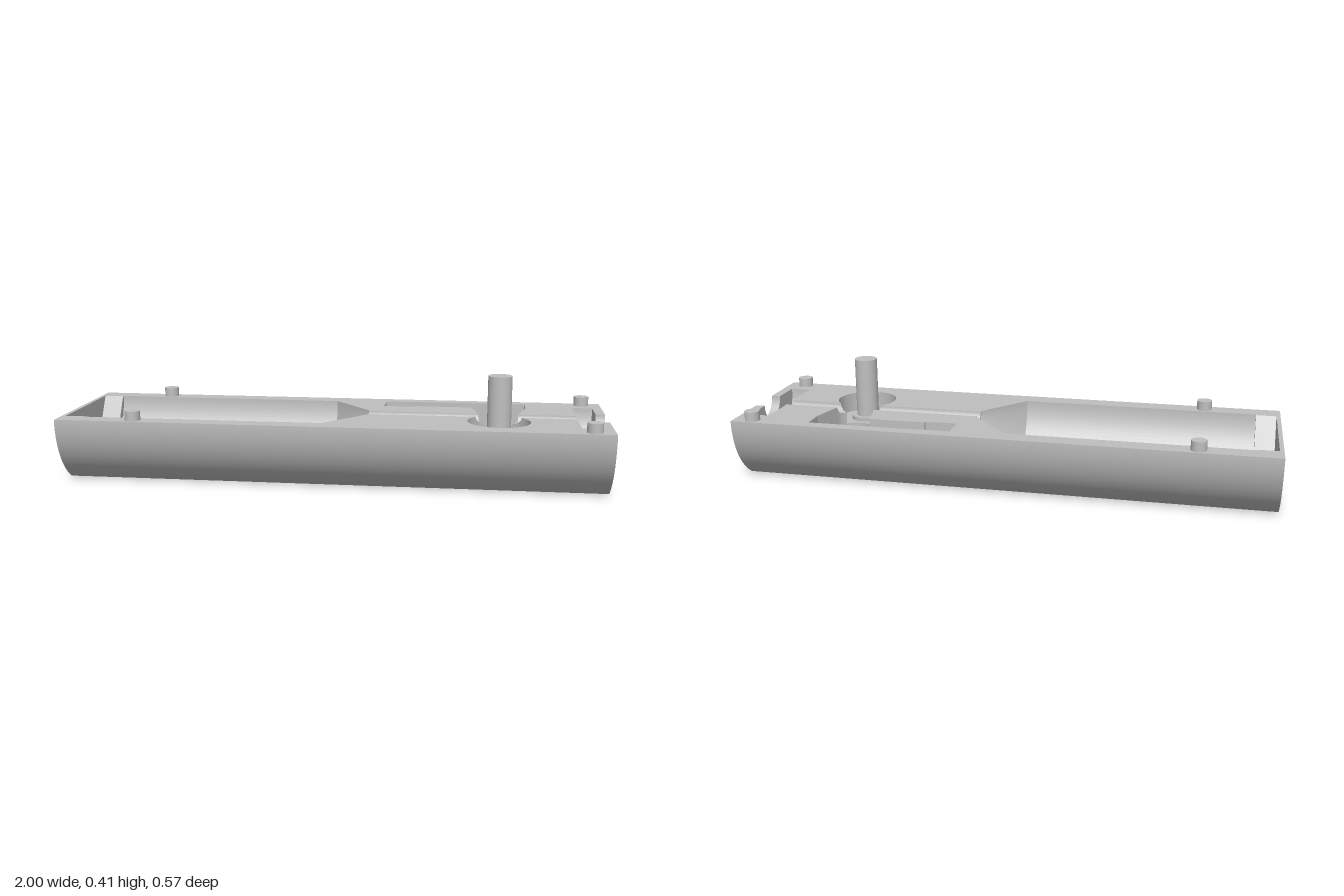
import * as THREE from 'three';

const TOP = 0.245, R = 0.287, CH = 0.03;            // split plane, shell radius, channel radius
const ARM_Y = 0.145, CATCH_Y = 0.16, ROUND_Y = 0.17; // pocket floors

const material = new THREE.MeshStandardMaterial({ color: 0xbfbfbf, side: THREE.DoubleSide });
material.name = 'plain grey';

// Surface from a rule f(u, v) -> [x, y, z]
function grid(nu, nv, f) {
  const pos = [], idx = [];
  for (let i = 0; i <= nu; i++) for (let j = 0; j <= nv; j++) pos.push(...f(i / nu, j / nv));
  for (let i = 0; i < nu; i++) for (let j = 0; j < nv; j++) {
    const a = i * (nv + 1) + j, b = a + nv + 1;
    idx.push(a, a + 1, b, b, a + 1, b + 1);
  }
  const g = new THREE.BufferGeometry();
  g.setAttribute('position', new THREE.Float32BufferAttribute(pos, 3));
  g.setIndex(idx);
  g.computeVertexNormals();
  return g;
}

// Horizontal face from [x, z] points
function flat(points, y) {
  const g = new THREE.ShapeGeometry(new THREE.Shape(points.map(([x, z]) => new THREE.Vector2(x, -z))));
  return g.rotateX(-Math.PI / 2).translate(0, y, 0);
}

// Lower half of a revolved band about the x axis, between two [x, r] points
function halfTurn(a, b, sides = 48) {
  const g = new THREE.LatheGeometry([a, b].map(([x, r]) => new THREE.Vector2(r, x)), sides, 0, Math.PI);
  g.rotateZ(-Math.PI / 2).translate(0, TOP, 0);
  if (sides > 6) return g;
  const f = g.toNonIndexed();
  f.computeVertexNormals();
  return f;
}

function inside([x, z], poly) {
  let hit = false;
  poly.forEach(([x1, z1], i) => {
    const [x2, z2] = poly[(i + 1) % poly.length];
    if ((z1 > z) !== (z2 > z) && x < x1 + (x2 - x1) * (z - z1) / (z2 - z1)) hit = !hit;
  });
  return hit;
}

function arc(cx, cz, r, from, to, n) {
  return Array.from({ length: n + 1 }, (_, i) => {
    const t = THREE.MathUtils.degToRad(from + (to - from) * i / n);
    return [cx + r * Math.cos(t), cz + r * Math.sin(t)];
  });
}

// Pocket outlines in [x, z]
const PX = 0.605, TIP_Z = -0.05, TIP_R = 0.077, POST_Z = 0.107, ROUND_R = 0.113;
const arm = [[0.71, -0.155], [0.71, -0.24], [0.29, -0.24], [0.29, -0.235], [0.29, -0.15], [0.505, -0.15],
  ...arc(PX, TIP_Z, TIP_R, 166.5, 13.5, 60)];
const catchBox = [[0.29, -0.235], [0.17, -0.235], [0.17, -0.139], [0.29, -0.139], [0.29, -0.15]];
const round = arc(PX, POST_Z, ROUND_R, -90, 270, 120).slice(0, -1);

// Height of the surroundings at a point
function ground([x, z]) {
  let y = TOP;
  if (Math.abs(z) < CH) y = TOP - Math.sqrt(CH * CH - z * z);
  if (inside([x, z], round)) y = Math.min(y, ROUND_Y);
  if (inside([x, z], catchBox)) y = Math.min(y, CATCH_Y);
  if (inside([x, z], arm)) y = Math.min(y, ARM_Y);
  return y;
}

// Upright wall round a pocket, reaching up to whatever lies outside it
function wall(loop, floor) {
  const pos = [];
  loop.forEach((a, i) => {
    const b = loop[(i + 1) % loop.length];
    const dx = b[0] - a[0], dz = b[1] - a[1], l = Math.hypot(dx, dz);
    const mid = s => [(a[0] + b[0]) / 2 - s * 0.001 * dz / l, (a[1] + b[1]) / 2 + s * 0.001 * dx / l];
    const y = ground(inside(mid(1), loop) ? mid(-1) : mid(1));
    if (y <= floor) return;
    const A = [a[0], floor, a[1]], B = [b[0], floor, b[1]], C = [b[0], y, b[1]], D = [a[0], y, a[1]];
    pos.push(...A, ...B, ...C, ...A, ...C, ...D);
  });
  const g = new THREE.BufferGeometry();
  g.setAttribute('position', new THREE.Float32BufferAttribute(pos, 3));
  g.computeVertexNormals();
  return g;
}

export function createModel() {
  const model = new THREE.Group();
  model.name = 'halfHousing';
  const add = (name, geometry, x = 0, y = 0, z = 0) => {
    const m = new THREE.Mesh(geometry, material);
    m.name = name;
    m.position.set(x, y, z);
    model.add(m);
  };

  // Outer shell: two curved sides and a flat base
  const cut = Math.asin(TOP / R), base = R * Math.cos(cut);
  for (const s of [1, -1]) {
    add('shellSide', grid(1, 32, (u, v) => [s * (2 * u - 1), TOP - R * Math.sin(v * cut), s * R * Math.cos(v * cut)]));
  }
  add('shellBase', grid(1, 1, (u, v) => [2 * u - 1, 0, base * (1 - 2 * v)]));

  // End walls, the right one with a round notch
  for (const s of [1, -1]) {
    const end = new THREE.Shape();
    end.absarc(0, TOP, R, Math.PI, Math.PI + cut, false);
    end.absarc(0, TOP, R, 2 * Math.PI - cut, 2 * Math.PI, false);
    if (s > 0) end.absarc(0, TOP, 0.07, 2 * Math.PI, Math.PI, true);
    add('endWall', new THREE.ShapeGeometry(end, 32).rotateY(s * Math.PI / 2), s, 0, 0);
  }

  // Top rim round all the openings
  const dxArm = Math.sqrt(TIP_R ** 2 - (CH + TIP_Z) ** 2);
  const dxRound = Math.sqrt(ROUND_R ** 2 - (POST_Z - CH) ** 2);
  add('topRim', flat([
    [-1, -R], [1, -R], [1, -0.07], [0.965, -0.07], [0.965, -0.19], [0.89, -0.19], [0.89, -CH],
    [PX + dxArm, -CH], arm[arm.length - 1], ...arm.slice(0, 4), ...catchBox.slice(1), [0.505, -0.15],
    arm[6], [PX - dxArm, -CH],
    [0.12, -CH], [0.12, -0.04], [-0.025, -0.217], [-0.91, -0.217], [-0.91, -0.21], [-0.985, -0.21],
    [-0.985, 0.21], [-0.91, 0.21], [-0.91, 0.217], [-0.025, 0.217], [0.12, 0.04], [0.12, CH],
    [PX - dxRound, CH], ...round.filter(p => p[1] > CH).reverse(), [PX + dxRound, CH],
    [0.89, CH], [0.89, 0.19], [0.965, 0.19], [0.965, 0.07], [1, 0.07], [1, R], [-1, R],
  ], TOP));

  // Main bore with its cone, and the hexagonal seat at the far end
  add('mainBore', halfTurn([-0.91, 0.217], [-0.025, 0.217]));
  add('boreCone', halfTurn([-0.025, 0.217], [0.12, 0.04]));
  add('coneStep', halfTurn([0.12, 0.04], [0.12, CH]));
  add('hexSeat', halfTurn([-0.985, 0.21], [-0.91, 0.21], 3));
  add('hexSeatEnd', halfTurn([-0.985, 0], [-0.985, 0.21], 3));
  add('hexSeatStep', grid(48, 1, (u, v) => {
    const t = u * Math.PI, hex = 0.21 * Math.cos(Math.PI / 6) / Math.cos((t % (Math.PI / 3)) - Math.PI / 6);
    const r = hex + (0.217 - hex) * v;
    return [-0.91, TOP - r * Math.sin(t), r * Math.cos(t)];
  }));

  // Disc slot and outlet notch
  const slot = [[0.89, CH], [0.89, 0.19], [0.965, 0.19], [0.965, 0.07], [1, 0.07]];
  for (let i = 0; i < 4; i++) add('discSlot', halfTurn(slot[i], slot[i + 1]));

  // Narrow channel, trimmed where it meets the pockets
  const reach = z => Math.max(Math.sqrt(Math.max(0, TIP_R ** 2 - (z - TIP_Z) ** 2)),
    Math.sqrt(Math.max(0, ROUND_R ** 2 - (z - POST_Z) ** 2)));
  for (const [s, far] of [[-1, 0.12], [1, 0.89]]) {
    add('channel', grid(24, 1, (u, v) => {
      const z = CH * Math.cos(u * Math.PI);
      return [v ? far : PX + s * reach(z), TOP - CH * Math.sin(u * Math.PI), z];
    }));
  }

  // Arm, catch and round pockets
  add('armPocketFloor', flat(arm, ARM_Y));
  add('armPocketWall', wall(arm, ARM_Y));
  add('catchPocketFloor', flat(catchBox, CATCH_Y));
  add('catchPocketWall', wall(catchBox, CATCH_Y));
  add('roundPocketFloor', flat([...round.filter(p => !inside(p, arm)), ...arm.filter(p => inside(p, round))], ROUND_Y));
  add('roundPocketWall', wall(round, ROUND_Y));

  // Pivot post with collar
  add('postCollar', new THREE.CylinderGeometry(0.063, 0.063, 0.015, 48), PX, ROUND_Y + 0.0075, POST_Z);
  add('pivotPost', new THREE.CylinderGeometry(0.043, 0.043, 0.412 - ROUND_Y, 48), PX, (0.412 + ROUND_Y) / 2, POST_Z);

  // Locating pegs
  for (const x of [-0.715, 0.928]) for (const z of [-0.252, 0.252]) {
    add('locatingPeg', new THREE.CylinderGeometry(0.028, 0.028, 0.035, 32), x, TOP + 0.0175, z);
  }
  return model;
}
